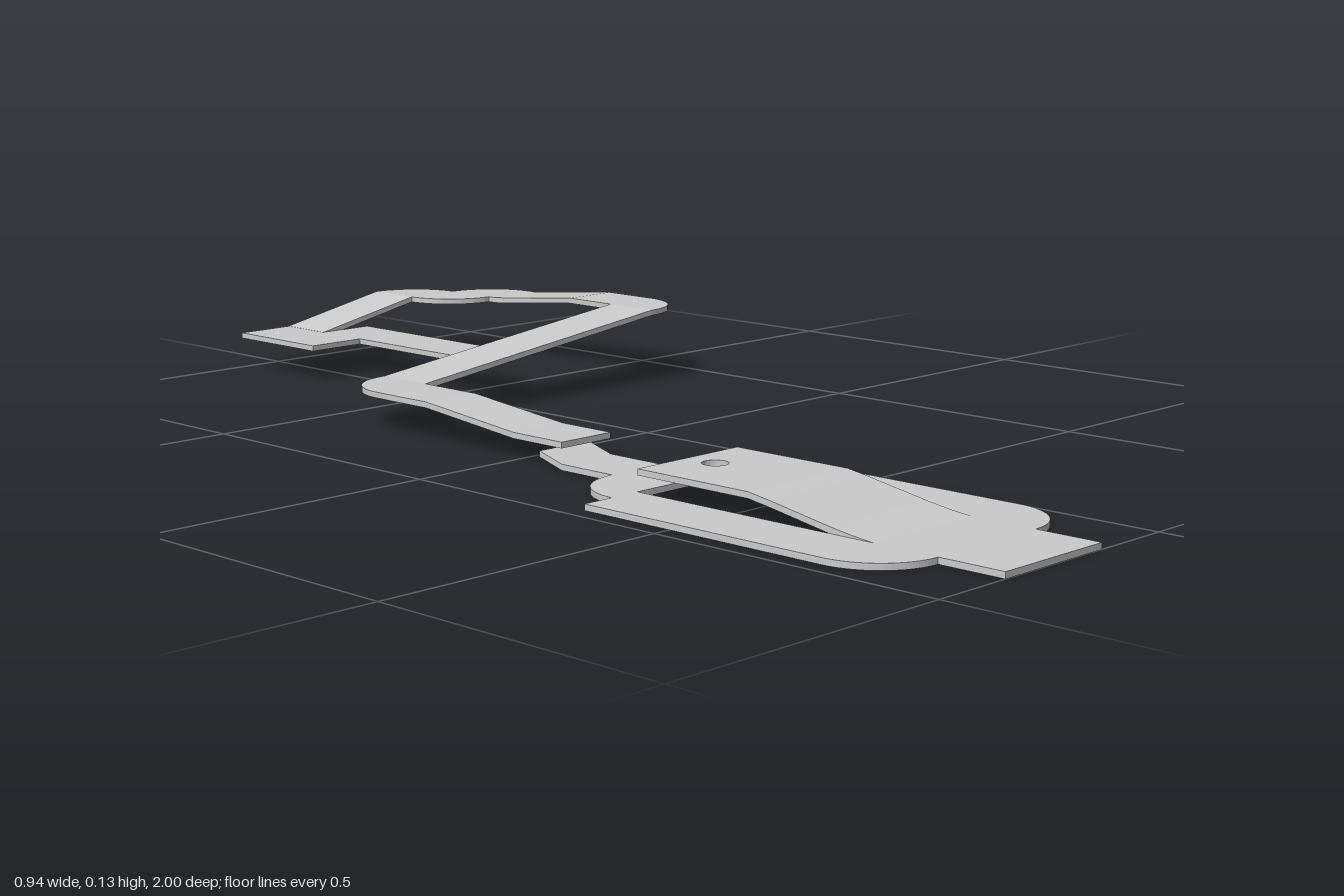
import * as THREE from 'three';

const T = 0.01;   // sheet thickness
const W = 0.108;  // strip width
const CX = -0.25; // centre line of base plate

const material = new THREE.MeshStandardMaterial({ color: 0xcccccc, flatShading: true });

function add(group, name, geometry) {
  const mesh = new THREE.Mesh(geometry, material);
  mesh.name = name;
  group.add(mesh);
  return mesh;
}

// Flat panel: shape drawn in (x, -z), lying at height y
function panel(shape, y) {
  const g = new THREE.ExtrudeGeometry(shape, { depth: T, bevelEnabled: false, curveSegments: 14 });
  return g.rotateX(-Math.PI / 2).translate(0, y, 0);
}

// Folded strip: starts at (x, y, z) heading to -z, then follows the steps:
// { go, rise } moves straight on, { turn: 1 | -1 } pivots right or left about the inner edge
function strip(x, y, z, width, steps) {
  let a = 0;
  const h = width / 2, rings = [];
  const mark = () => {
    const rx = Math.cos(a) * h, rz = Math.sin(a) * h;
    rings.push([
      [x - rx, y + T, z - rz], [x + rx, y + T, z + rz],
      [x + rx, y, z + rz], [x - rx, y, z - rz],
    ].map((p) => new THREE.Vector3(...p)));
  };
  mark();
  for (const { go = 0, rise = 0, turn = 0 } of steps) {
    if (turn) {
      const px = x + turn * Math.cos(a) * h, pz = z + turn * Math.sin(a) * h;
      const a0 = a, n = 14;
      for (let i = 1; i <= n; i++) {
        a = a0 + turn * (i / n) * Math.PI / 2;
        x = px - turn * Math.cos(a) * h;
        z = pz - turn * Math.sin(a) * h;
        mark();
      }
    } else {
      x += Math.sin(a) * go;
      z -= Math.cos(a) * go;
      y += rise;
      mark();
    }
  }

  const pos = [];
  const tri = (p, q, r) => {
    // the pivot side of a turn collapses, so skip empty triangles
    if (new THREE.Triangle(p, q, r).getArea() > 1e-9) for (const v of [p, q, r]) pos.push(v.x, v.y, v.z);
  };
  const quad = (p, q, r, s) => { tri(p, q, r); tri(p, r, s); };
  for (let i = 0; i + 1 < rings.length; i++) {
    const A = rings[i], B = rings[i + 1];
    for (let k = 0; k < 4; k++) quad(A[k], A[(k + 1) % 4], B[(k + 1) % 4], B[k]);
  }
  const S = rings[0], E = rings[rings.length - 1];
  quad(S[0], S[3], S[2], S[1]);
  quad(E[0], E[1], E[2], E[3]);
  const g = new THREE.BufferGeometry();
  g.setAttribute('position', new THREE.Float32BufferAttribute(pos, 3));
  g.computeVertexNormals();
  return g;
}

function rect(path, x0, v0, x1, v1) {
  path.moveTo(x0, v0);
  path.lineTo(x1, v0);
  path.lineTo(x1, v1);
  path.lineTo(x0, v1);
  path.closePath();
  return path;
}

export function createModel() {
  const model = new THREE.Group();
  model.name = 'bentSheetPart';
  const Q = Math.PI / 2, r = 0.11, n = W / 2;

  // Base plate with end tab, rounded shoulders, neck and window
  const base = new THREE.Shape();
  base.moveTo(CX - r, -1);
  base.lineTo(CX + r, -1);
  base.lineTo(CX + r, -0.89);
  base.absarc(CX + r, -0.78, r, -Q, 0, false);
  base.lineTo(CX + 2 * r, -0.33);
  base.lineTo(CX + n + r, -0.33);
  base.absarc(CX + n, -0.33, r, 0, Q, false);
  base.lineTo(CX + n, -0.11);
  base.lineTo(CX - n, -0.11);
  base.lineTo(CX - n, -0.22);
  base.absarc(CX - n, -0.33, r, Q, 2 * Q, false);
  base.lineTo(CX - 2 * r, -0.33);
  base.lineTo(CX - 2 * r, -0.78);
  base.absarc(CX - r, -0.78, r, 2 * Q, 3 * Q, false);
  base.closePath();
  base.holes.push(rect(new THREE.Path(), CX - r, -0.78, CX + r, -0.33));
  add(model, 'basePlate', panel(base, 0));

  // Upturned lip at the end of the neck
  add(model, 'neckLip', strip(CX, 0, 0.11, W, [{ go: 0.05, rise: 0.014 }]));

  // Spring tongue rising out of the window, with a round hole near its tip
  add(model, 'tongueBend', strip(CX, 0, 0.78, 2 * r, [
    { go: 0.04, rise: 0.004 }, { go: 0.04, rise: 0.006 },
    { go: 0.11, rise: 0.019 }, { go: 0.04, rise: 0.006 },
  ]));
  const tip = rect(new THREE.Shape(), CX - r, -0.55, CX + r, -0.33);
  tip.holes.push(new THREE.Path().absarc(CX, -0.385, 0.021, 0, 4 * Q, true));
  add(model, 'tongueTip', panel(tip, 0.035));

  // Long arm: forward, across, back and around the double bend to the hook
  add(model, 'arm', strip(CX, 0.035, 0.11, W, [
    { go: 0.11 }, { go: 0.21, rise: 0.021 }, { go: 0.127 },
    { turn: 1 }, { go: 0.555, rise: 0.066 },
    { turn: -1 }, { go: 0.11 }, { go: 0.21, rise: -0.021 }, { go: 0.02 },
    { turn: -1 }, { turn: 1 }, { turn: -1 },
    { go: 0.223, rise: -0.045 },
  ]));

  // Hook: square pad with a round-ended finger
  const hook = new THREE.Shape();
  hook.moveTo(-0.085, 0.783);
  hook.lineTo(0.027, 0.783);
  hook.lineTo(0.027, 0.502);
  hook.absarc(0.081, 0.502, n, 2 * Q, 4 * Q, false);
  hook.lineTo(0.135, 0.892);
  hook.lineTo(0.027, 0.892);
  hook.lineTo(0.027, 1);
  hook.lineTo(-0.085, 1);
  hook.closePath();
  add(model, 'hookFinger', panel(hook, 0.056));

  return model;
}
